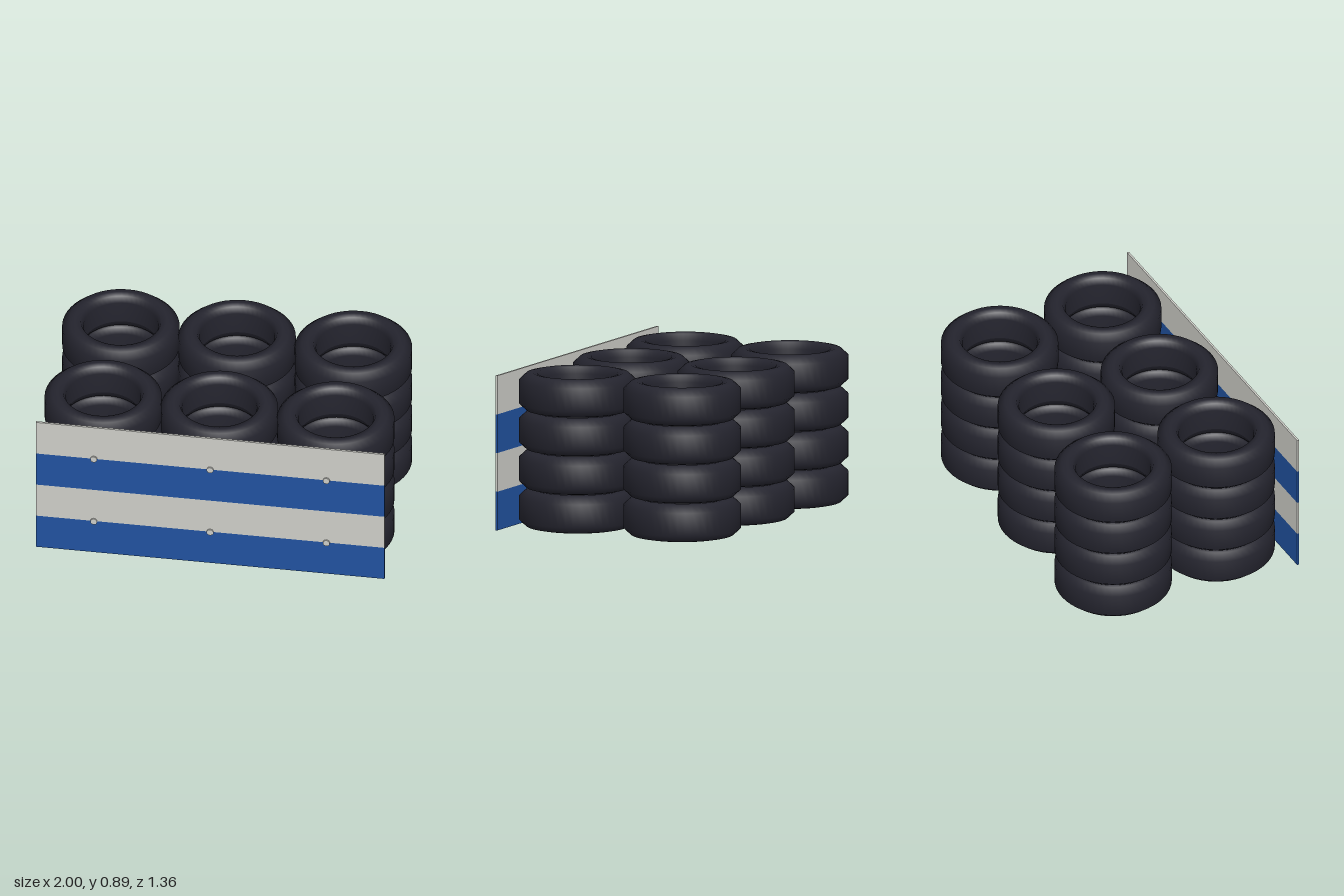
import * as THREE from 'three';

export function createModel() {
  const group = new THREE.Group();
  group.name = 'tyreBarrier';
  const mat = (name, color) => {
    const m = new THREE.MeshStandardMaterial({ color });
    m.name = name;
    return m;
  };
  const rubber = mat('blackRubber', 0x24242e);
  const blue = mat('blueBand', 0x2152a0);
  const grey = mat('lightGreyBand', 0xcfcfc9);

  const add = (name, geometry, material, x, y, z, parent = group) => {
    const mesh = new THREE.Mesh(geometry, material);
    mesh.name = name;
    mesh.position.set(x, y, z);
    parent.add(mesh);
    return mesh;
  };

  const pitch = 0.2222; // height of one tyre and of one panel band
  const columns = [-0.667, 0, 0.667];

  // Closed tyre cross-section, running up the outside and down the hole
  const section = [
    [0.212, -0.066], [0.228, -0.103], [0.26, -0.11], [0.293, -0.103],
    [0.333, -0.066], [0.333, 0.066],
    [0.293, 0.103], [0.26, 0.11], [0.228, 0.103], [0.212, 0.066], [0.212, -0.066],
  ].map(([r, y]) => new THREE.Vector2(r, y));
  const tyreGeometry = new THREE.LatheGeometry(section, 48);

  // Six stacks of four tyres, in two rows
  for (const z of [-0.347, 0.32]) {
    for (const x of columns) {
      const stack = new THREE.Group();
      stack.name = 'tyreStack';
      stack.position.set(x, 0, z);
      group.add(stack);
      for (let i = 0; i < 4; i++) add('tyre', tyreGeometry, rubber, 0, pitch * (i + 0.5), 0, stack);
    }
  }

  // Front panel in alternating bands, blue at the bottom
  const bandGeometry = new THREE.BoxGeometry(2, pitch, 0.012);
  for (let i = 0; i < 4; i++) {
    add('panelBand', bandGeometry, i % 2 ? grey : blue, 0, pitch * (i + 0.5), 0.667);
  }

  // Bolt heads on the seams above the blue bands
  const boltGeometry = new THREE.CylinderGeometry(0.02, 0.02, 0.012, 10).rotateX(Math.PI / 2);
  for (const y of [pitch, pitch * 3]) {
    for (const x of columns) add('bolt', boltGeometry, grey, x, y, 0.675);
  }
  return group;
}
